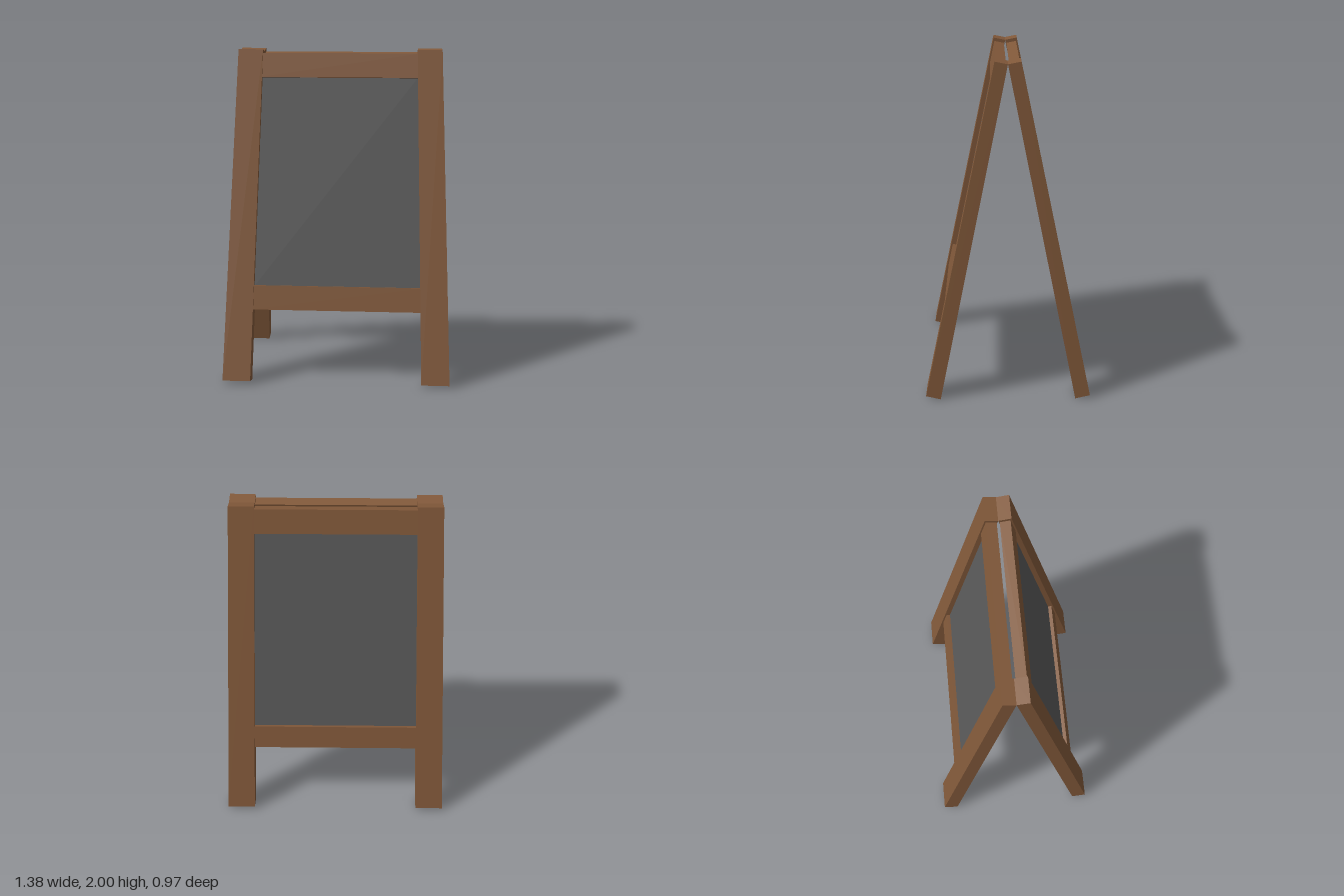
import * as THREE from 'three';

const { lerp } = THREE.MathUtils;
const wood = new THREE.MeshStandardMaterial({ color: 0x82593a });
wood.name = 'brown wood';
const slate = new THREE.MeshStandardMaterial({ color: 0x5a5a5a });
slate.name = 'grey chalkboard';

// Half-widths at the top and bottom of the splayed, slightly tapering frame
const INNER = [0.47, 0.52];
const OUTER = [0.62, 0.69];
const mirror = (edge) => edge.map((x) => -x);
const inset = (edge, by) => edge.map((x) => x + by);

// A bar of the leaning frame. xa, xb: [top, bottom] x of its two sides;
// t: range down the slope (0 top, 1 foot); d: range through the thickness (0 inside, 1 outside)
function bar(name, material, xa, xb, [t0, t1], [d0, d1]) {
  const geometry = new THREE.BoxGeometry(1, 1, 1);
  const p = geometry.attributes.position;
  for (let i = 0; i < p.count; i++) {
    const t = p.getY(i) > 0 ? t0 : t1;
    const d = p.getZ(i) > 0 ? d1 : d0;
    const edge = p.getX(i) > 0 ? xb : xa;
    p.setXYZ(
      i,
      lerp(edge[0], edge[1], t),
      lerp(lerp(1.985, 2.0, d), lerp(0, 0.02, d), t),
      lerp(lerp(0, 0.075, d), lerp(0.4, 0.487, d), t)
    );
  }
  geometry.computeVertexNormals();
  const mesh = new THREE.Mesh(geometry, material);
  mesh.name = name;
  return mesh;
}

// One leaning frame: two legs, two rails and the recessed writing board
function createPanel(name) {
  const panel = new THREE.Group();
  panel.name = name;
  const railEnd = inset(INNER, 0.02);
  const boardEnd = inset(INNER, 0.01);
  panel.add(
    bar('leftLeg', wood, INNER, OUTER, [0, 1], [0, 1]),
    bar('rightLeg', wood, mirror(OUTER), mirror(INNER), [0, 1], [0, 1]),
    bar('topRail', wood, mirror(railEnd), railEnd, [0.01, 0.083], [0.06, 0.88]),
    bar('bottomRail', wood, mirror(railEnd), railEnd, [0.711, 0.784], [0.06, 0.88]),
    bar('board', slate, mirror(boardEnd), boardEnd, [0.075, 0.72], [0.36, 0.61])
  );
  return panel;
}

export function createModel() {
  const model = new THREE.Group();
  model.name = 'sandwichBoard';
  const front = createPanel('frontPanel');
  const back = createPanel('backPanel');
  back.rotation.y = Math.PI;
  model.add(front, back);
  return model;
}
